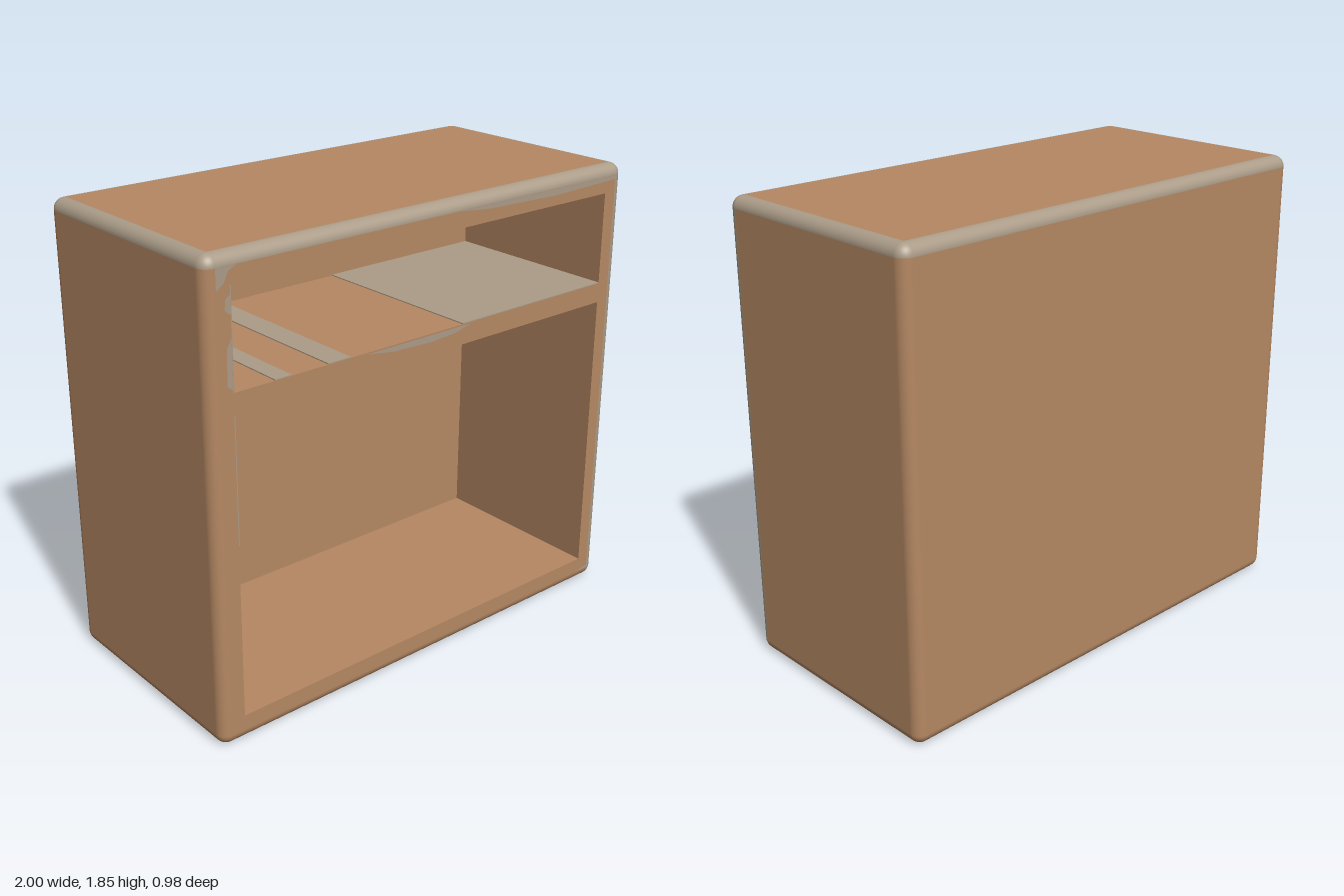
import * as THREE from 'three';
import { RoundedBoxGeometry } from 'three/addons/geometries/RoundedBoxGeometry.js';

const W = 2, H = 1.85, D = 0.975, R = 0.045;
const FRONT = D / 2, BACK_WALL = -0.28;
const OPENINGS = [
  { name: 'upperCompartment', x: 0.9, y0: 1.37, y1: 1.74 },
  { name: 'lowerCompartment', x: 0.9, y0: 0.105, y1: 1.29 },
];

export function createModel() {
  const wood = new THREE.MeshStandardMaterial({ color: 0xb58863 });
  wood.name = 'wood';
  const worn = new THREE.MeshStandardMaterial({ color: 0xab9c88 });
  worn.name = 'wornGrey';

  const model = new THREE.Group();
  model.name = 'cabinet';
  const add = (name, geometry, material) => {
    const mesh = new THREE.Mesh(geometry, material);
    mesh.name = name;
    model.add(mesh);
    return mesh;
  };

  // Rounded shell without its flat front, split into wood and worn edges
  const box = new RoundedBoxGeometry(W, H, D, 4, R);
  const shell = box.index ? box.toNonIndexed() : box;
  const pos = shell.attributes.position, nor = shell.attributes.normal;
  const parts = { wood: { p: [], n: [] }, worn: { p: [], n: [] } };
  for (let i = 0; i < pos.count; i += 3) {
    const c = new THREE.Vector3();
    for (let k = 0; k < 3; k++) c.add(new THREE.Vector3().fromBufferAttribute(pos, i + k));
    c.divideScalar(3);
    const ex = Math.abs(c.x) > W / 2 - R, ey = Math.abs(c.y) > H / 2 - R, ez = Math.abs(c.z) > D / 2 - R;
    const edge = ex + ey + ez > 1;
    if (!edge && ez && c.z > 0) continue;
    const isWorn = edge && ((ey && c.y > 0) || (ex && ez && c.x > 0 && c.z > 0));
    const part = isWorn ? parts.worn : parts.wood;
    for (let k = i; k < i + 3; k++) {
      part.p.push(pos.getX(k), pos.getY(k) + H / 2, pos.getZ(k));
      part.n.push(nor.getX(k), nor.getY(k), nor.getZ(k));
    }
  }
  const toGeometry = ({ p, n }) => {
    const g = new THREE.BufferGeometry();
    g.setAttribute('position', new THREE.Float32BufferAttribute(p, 3));
    g.setAttribute('normal', new THREE.Float32BufferAttribute(n, 3));
    return g;
  };
  add('outerShell', toGeometry(parts.wood), wood);
  add('wornEdges', toGeometry(parts.worn), worn);

  // Front frame with two openings
  const rect = (Type, x0, y0, x1, y1) => new Type([
    [x0, y0], [x1, y0], [x1, y1], [x0, y1],
  ].map(([x, y]) => new THREE.Vector2(x, y)));
  const frame = rect(THREE.Shape, -W / 2 + R, R, W / 2 - R, H - R);
  for (const o of OPENINGS) frame.holes.push(rect(THREE.Path, -o.x, o.y0, o.x, o.y1));
  add('frontFrame', new THREE.ShapeGeometry(frame), wood).position.z = FRONT;

  // Compartments: inward-facing boxes open at the front
  for (const o of OPENINGS) {
    const g = new THREE.BoxGeometry(o.x * 2, o.y1 - o.y0, FRONT - BACK_WALL);
    const index = Array.from(g.index.array).filter((_, i) => i < 24 || i >= 30).reverse();
    g.setIndex(index);
    g.clearGroups();
    g.computeVertexNormals();
    add(o.name, g, wood).position.set(0, (o.y0 + o.y1) / 2, (FRONT + BACK_WALL) / 2);
  }

  // Worn areas inside the compartments
  const depth = FRONT - BACK_WALL, midZ = (FRONT + BACK_WALL) / 2, T = 0.004;
  const sidePatch = (name, y0, y1) =>
    add(name, new THREE.BoxGeometry(T, y1 - y0, depth), worn).position.set(-0.9 + T / 2, (y0 + y1) / 2, midZ);
  sidePatch('upperWallWear', 1.37, 1.74);
  sidePatch('lowerWallWear', 0.8, 1.29);
  for (const [x0, x1] of [[-0.73, -0.66], [-0.5, -0.4], [0.14, 0.9]]) {
    add('shelfWear', new THREE.BoxGeometry(x1 - x0, T, depth), worn)
      .position.set((x0 + x1) / 2, 1.37 + T / 2, midZ);
  }

  // Worn patches on the front frame
  const patch = (name, points) => {
    const shape = new THREE.Shape(points.map(([x, y]) => new THREE.Vector2(x, y)));
    add(name, new THREE.ShapeGeometry(shape), worn).position.z = FRONT + 0.002;
  };
  patch('cornerWear', [[-0.955, 1.73], [-0.925, 1.75], [-0.905, 1.79], [-0.87, 1.805], [-0.955, 1.805]]);
  patch('topEdgeWear', [[0.1, 1.805], [0.25, 1.79], [0.6, 1.78], [0.955, 1.79], [0.955, 1.805]]);
  patch('shelfEdgeWear', [[-0.33, 1.365], [-0.2, 1.345], [-0.02, 1.338], [0.1, 1.345], [0.18, 1.365]]);
  patch('stileWear', [[-0.925, 1.4], [-0.902, 1.38], [-0.902, 1.56], [-0.92, 1.53]]);
  patch('stileWear', [[-0.925, 1.66], [-0.902, 1.64], [-0.902, 1.71], [-0.92, 1.7]]);
  patch('lowerCornerWear', [[0.88, 0.045], [0.955, 0.045], [0.955, 0.06]]);

  return model;
}
